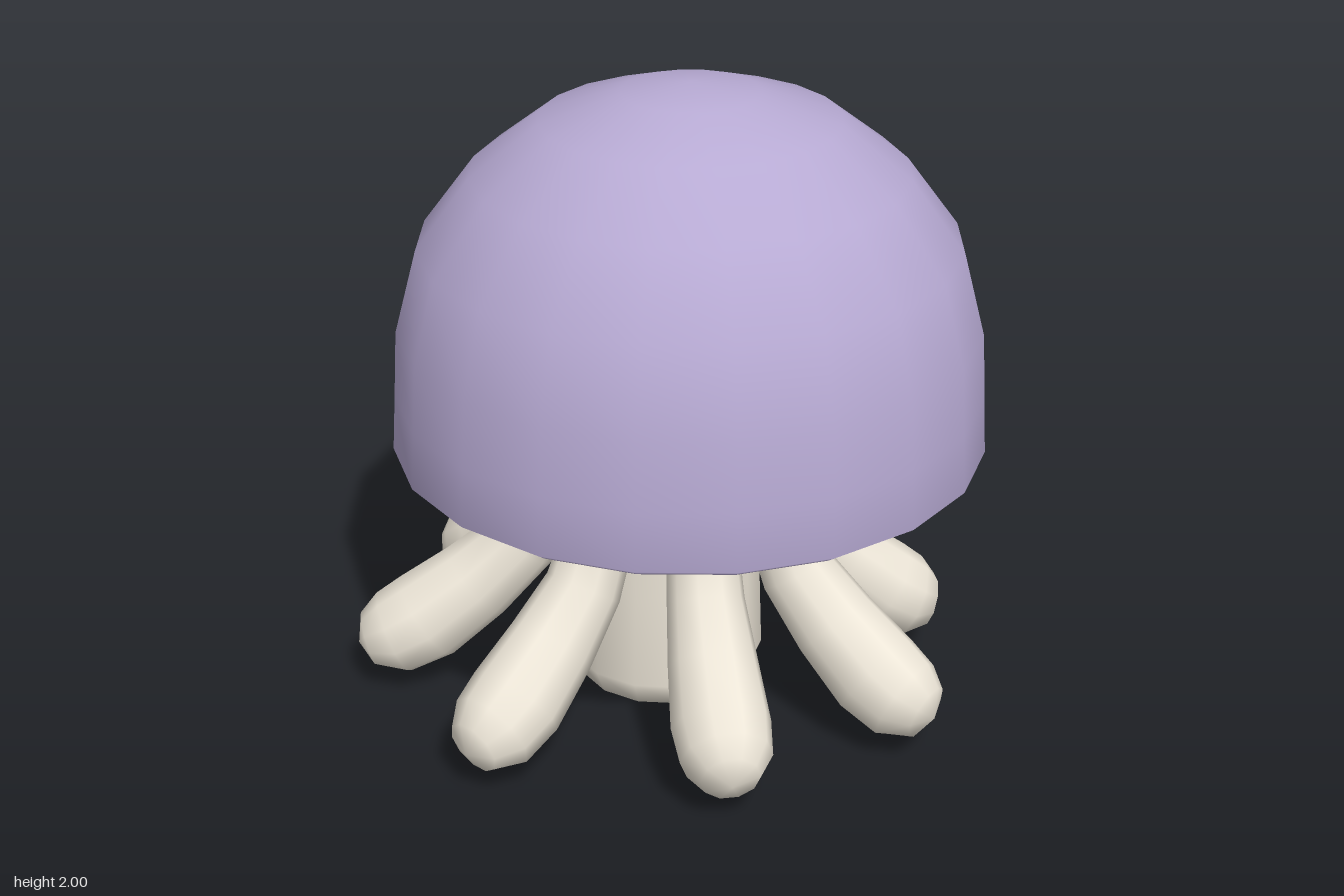
import * as THREE from 'three';
import { mergeVertices } from 'three/addons/utils/BufferGeometryUtils.js';

const purple = new THREE.MeshStandardMaterial({ color: 0xb7aad3 });
const cream = new THREE.MeshStandardMaterial({ color: 0xece5d7 });

// Smooth lathe from [radius, y] pairs, listed from the underside to the top
function lathe(name, profile, segments, material, x, z) {
  const points = profile.map(([r, y]) => new THREE.Vector2(r, y));
  const turned = new THREE.LatheGeometry(points, segments);
  // Weld the seam and poles so the shading stays even
  turned.deleteAttribute('normal');
  turned.deleteAttribute('uv');
  const geometry = mergeVertices(turned);
  geometry.computeVertexNormals();
  const mesh = new THREE.Mesh(geometry, material);
  mesh.name = name;
  mesh.position.set(x, 0, z);
  return mesh;
}

// Tentacle stations: distance from the axis, height, radius
const STATIONS = [
  [0.355, 1.06, 0.102], [0.355, 0.84, 0.102], [0.38, 0.68, 0.11], [0.46, 0.5, 0.12],
  [0.6, 0.36, 0.138], [0.75, 0.24, 0.152], [0.85, 0.185, 0.14], [0.925, 0.165, 0.09],
];
const TIP = [0.955, 0.155];
const SIDES = 10;

// Loft round sections from a root to a tip, given as [x, z]
function tentacle(name, root, tip) {
  const out = new THREE.Vector3(tip[0] - root[0], 0, tip[1] - root[1]);
  const scale = out.length() / (TIP[0] - STATIONS[0][0]);
  out.normalize();
  const side = new THREE.Vector3().crossVectors(out, new THREE.Vector3(0, 1, 0));
  const path = [...STATIONS, TIP].map(([d, y]) => new THREE.Vector3(root[0], y, root[1])
    .addScaledVector(out, (d - STATIONS[0][0]) * scale));

  const positions = [];
  const index = [];
  STATIONS.forEach(([, , r], i) => {
    const tangent = path[i + 1].clone().sub(path[Math.max(i - 1, 0)]).normalize();
    const normal = new THREE.Vector3().crossVectors(side, tangent);
    for (let k = 0; k < SIDES; k++) {
      const a = (k / SIDES) * Math.PI * 2;
      const p = path[i].clone()
        .addScaledVector(side, Math.cos(a) * r)
        .addScaledVector(normal, -Math.sin(a) * r);
      positions.push(p.x, p.y, p.z);
      const a0 = i * SIDES + k, a1 = i * SIDES + (k + 1) % SIDES;
      if (i < STATIONS.length - 1) {
        index.push(a0, a1, a0 + SIDES, a1, a1 + SIDES, a0 + SIDES);
      } else {
        index.push(a0, a1, STATIONS.length * SIDES); // fan closing the tip
      }
    }
  });
  positions.push(...path[path.length - 1].toArray());

  const geometry = new THREE.BufferGeometry();
  geometry.setAttribute('position', new THREE.Float32BufferAttribute(positions, 3));
  geometry.setIndex(index);
  geometry.computeVertexNormals();
  const mesh = new THREE.Mesh(geometry, cream);
  mesh.name = name;
  return mesh;
}

export function createModel() {
  const model = new THREE.Group();
  model.name = 'jellyfish';

  // Domed bell, very slightly oval, with a shallow hollow underneath
  const bell = lathe('bell', [
    [0, 0.99], [0.5, 0.96], [0.79, 0.865], [0.89, 0.835], [0.925, 0.86], [0.913, 1.04],
    [0.9, 1.25], [0.83, 1.51], [0.665, 1.73], [0.455, 1.89], [0.21, 1.972], [0, 2],
  ], 20, purple, 0.07, 0.02);
  bell.scale.z = 0.985;
  model.add(bell);

  // Thick central stalk with a dented foot
  model.add(lathe('stalk', [
    [0, 0.05], [0.18, 0.025], [0.285, 0], [0.318, 0.08], [0.306, 0.4], [0.297, 1.02],
  ], 14, cream, 0, -0.03));

  // Eight tentacles curling outward
  const tentacles = [
    ['frontTentacle', [0.055, 0.355], [0.06, 0.955]],
    ['frontLeftTentacle', [0.29, 0.25], [0.73, 0.685]],
    ['leftTentacle', [0.345, 0], [0.905, 0]],
    ['backLeftTentacle', [0.27, -0.25], [0.69, -0.64]],
    ['backTentacle', [0.04, -0.36], [0.05, -0.96]],
    ['backRightTentacle', [-0.25, -0.25], [-0.66, -0.64]],
    ['rightTentacle', [-0.35, 0], [-1, -0.01]],
    ['frontRightTentacle', [-0.22, 0.26], [-0.7, 0.68]],
  ];
  for (const [name, root, tip] of tentacles) model.add(tentacle(name, root, tip));

  return model;
}
